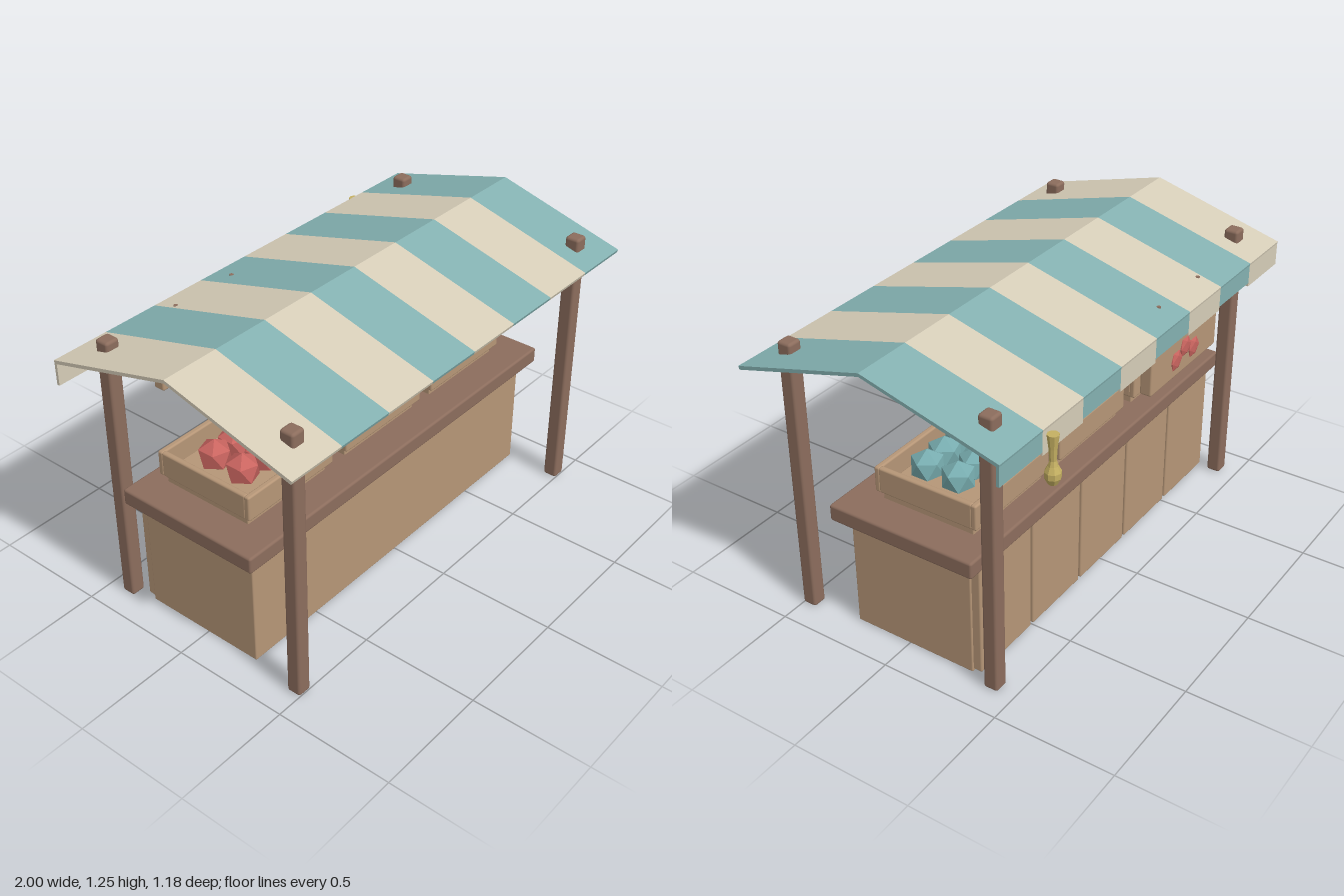
import * as THREE from 'three';
import { RoundedBoxGeometry } from 'three/addons/geometries/RoundedBoxGeometry.js';

const mat = (name, color, extra = {}) => {
  const m = new THREE.MeshStandardMaterial({ color, ...extra });
  m.name = name;
  return m;
};

export function createModel() {
  const wood = mat('light wood', 0xb69677);
  const darkWood = mat('dark wood', 0x8c6d5d);
  const teal = mat('teal cloth', 0x84b1b1);
  const cream = mat('cream cloth', 0xd6cdb8);
  const red = mat('red produce', 0xc9645f, { flatShading: true });
  const yellow = mat('yellow produce', 0xd3bd6c, { flatShading: true });
  const blue = mat('blue produce', 0x78adb0, { flatShading: true });
  const gold = mat('gold', 0xc5b062, { flatShading: true });

  const root = new THREE.Group();
  root.name = 'marketStall';

  const add = (parent, name, geometry, material, x = 0, y = 0, z = 0) => {
    const mesh = new THREE.Mesh(geometry, material);
    mesh.name = name;
    mesh.position.set(x, y, z);
    parent.add(mesh);
    return mesh;
  };
  // Softened box given by its extents on each axis
  const block = (parent, name, material, [x0, x1], [y0, y1], [z0, z1], r = 0.008) =>
    add(parent, name, new RoundedBoxGeometry(x1 - x0, y1 - y0, z1 - z0, 2, r), material,
      (x0 + x1) / 2, (y0 + y1) / 2, (z0 + z1) / 2);

  // Counter with five planks on the back
  const counter = new THREE.Group();
  counter.name = 'counter';
  root.add(counter);
  block(counter, 'counterBody', wood, [-0.85, 0.85], [0, 0.5], [-0.295, 0.25], 0.006);
  block(counter, 'counterTop', darkWood, [-0.91, 0.91], [0.49, 0.56], [-0.345, 0.3], 0.01);
  for (let i = -2; i <= 2; i++) {
    block(counter, 'backPlank', wood, [i * 0.34 - 0.163, i * 0.34 + 0.163], [0.01, 0.495], [-0.332, -0.285]);
  }

  // Four posts that poke through the canopy
  for (const x of [-0.86, 0.86]) {
    for (const z of [0.47, -0.403]) {
      block(root, 'post', darkWood, [x - 0.031, x + 0.031], [0, 1.177], [z - 0.031, z + 0.031], 0.012);
    }
  }

  // Striped canopy: a gabled section run along x, with a flap on the back edge
  const canopy = new THREE.Group();
  canopy.name = 'canopy';
  root.add(canopy);
  const t = 0.014;
  const gable = new THREE.Shape([
    [-0.585, 1.084], [-0.03, 1.25 - t], [0.535, 1.084],
    [0.538, 1.084 + t], [-0.03, 1.25], [-0.59, 1.084 + t],
  ].map(([x, y]) => new THREE.Vector2(x, y)));
  const stripe = new THREE.ExtrudeGeometry(gable, { depth: 0.25, bevelEnabled: false });
  stripe.rotateY(Math.PI / 2);
  for (let i = 0; i < 8; i++) {
    const x = -1 + i * 0.25;
    const isCream = i % 2 === 0;
    const cloth = isCream ? cream : teal;
    add(canopy, 'canopyStripe', stripe, cloth, x, 0, 0);
    const low = isCream ? 0.995 : 1.01;
    add(canopy, 'canopyFlap', new THREE.BoxGeometry(0.25, 1.092 - low, 0.012), cloth,
      x + 0.125, (1.092 + low) / 2, -0.53);
  }

  // Faceted fruit with one point straight up
  const fruit = new THREE.IcosahedronGeometry(0.07, 0);
  fruit.rotateZ(-Math.atan(2 / (1 + Math.sqrt(5))));

  // Open crates, each with two rows of three fruit
  const crates = [[-0.55, red], [0, yellow], [0.545, blue]];
  for (const [cx, material] of crates) {
    const crate = new THREE.Group();
    crate.name = 'crate';
    crate.position.set(cx, 0, -0.045);
    root.add(crate);
    block(crate, 'crateBase', wood, [-0.217, 0.217], [0.555, 0.615], [-0.205, 0.205], 0.005);
    for (const s of [-1, 1]) {
      const z = s * 0.217;
      block(crate, 'crateLongBoard', wood, [-0.235, 0.235], [0.592, 0.7], [z - 0.0125, z + 0.0125]);
      const x = s * 0.222;
      block(crate, 'crateEndBoard', wood, [x - 0.0125, x + 0.0125], [0.592, 0.7], [-0.21, 0.21]);
    }
    for (let i = -1; i <= 1; i++) {
      for (const z of [-0.07, 0.07]) add(crate, 'fruit', fruit, material, i * 0.105, 0.69, z + 0.012);
    }
  }

  // Hanging sign on the back with three flat berries
  const sign = new THREE.Group();
  sign.name = 'hangingSign';
  root.add(sign);
  block(sign, 'signBoard', wood, [-0.585, -0.07], [0.792, 0.962], [-0.485, -0.434]);
  for (const x of [-0.48, -0.175]) {
    add(sign, 'signRod', new THREE.CylinderGeometry(0.009, 0.009, 0.175, 8), darkWood, x, 1.038, -0.443);
  }
  for (const i of [-1, 0, 1]) {
    const berry = add(sign, 'signBerry', new THREE.IcosahedronGeometry(0.045, 0), red,
      -0.328 + i * 0.068, i === 0 ? 0.898 : 0.865, -0.485);
    berry.scale.z = 0.25;
  }

  // Gold bulb with a flared stem hung from the back edge
  const profile = [
    [0, 0.875], [0.018, 0.879], [0.031, 0.905], [0.031, 0.928], [0.019, 0.952],
    [0.013, 0.972], [0.016, 1.02], [0.023, 1.076], [0, 1.076],
  ].map(([x, y]) => new THREE.Vector2(x, y));
  add(root, 'hangingBulb', new THREE.LatheGeometry(profile, 8), gold, 0.722, 0, -0.559);

  return root;
}
